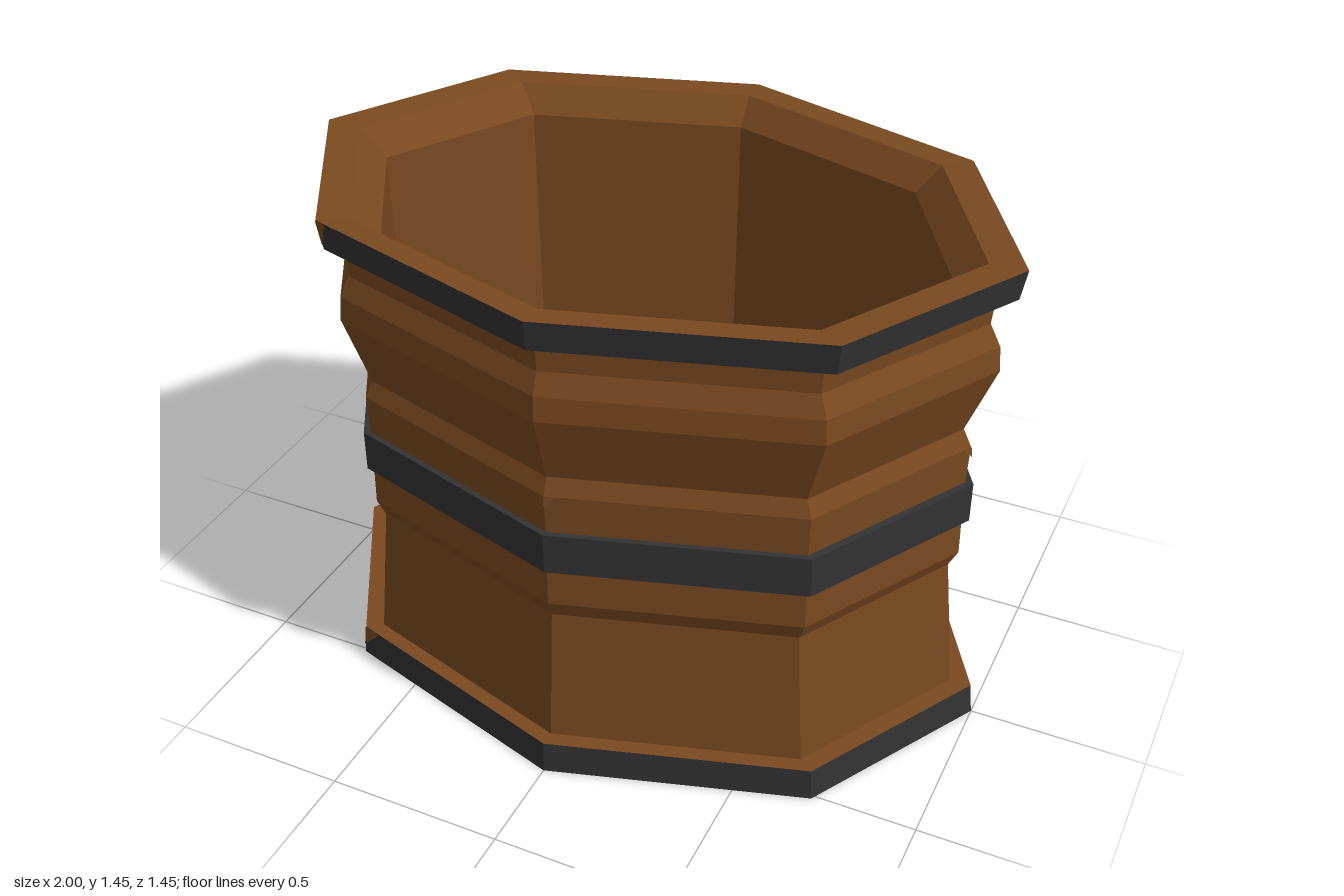
import * as THREE from 'three';

const DEPTH = 0.723; // the octagon is squashed front to back
const SIDES = 8;
const wood = new THREE.MeshStandardMaterial({ color: 0x7a4a20, flatShading: true });
const iron = new THREE.MeshStandardMaterial({ color: 0x333333, flatShading: true });

// Eight-sided ring from a profile of [radius, height]
function ring(name, material, profile) {
  const points = profile.map(([r, y]) => new THREE.Vector2(r, y));
  const geometry = new THREE.LatheGeometry(points, SIDES).scale(1, 1, DEPTH);
  const mesh = new THREE.Mesh(geometry, material);
  mesh.name = name;
  return mesh;
}

// Point on the octagon: k counts corners from the front towards +x
function onOctagon(k, r, y) {
  const corner = (i) => {
    const a = (i * Math.PI * 2) / SIDES;
    return new THREE.Vector3(Math.sin(a) * r, y, Math.cos(a) * r * DEPTH);
  };
  const i = Math.floor(k);
  return corner(i).lerp(corner(i + 1), k - i);
}

// Small triangular chip, folded around the outline
function chip(name, k, width, rTop, yTop, rTip, yTip) {
  const left = onOctagon(k - width, rTop, yTop);
  const middle = onOctagon(k, rTop, yTop);
  const right = onOctagon(k + width, rTop, yTop);
  const tip = onOctagon(k, rTip, yTip);
  const geometry = new THREE.BufferGeometry().setFromPoints([left, tip, middle, middle, tip, right]);
  geometry.computeVertexNormals();
  const mesh = new THREE.Mesh(geometry, wood);
  mesh.name = name;
  return mesh;
}

export function createModel() {
  const barrel = new THREE.Group();
  barrel.name = 'barrel';

  // Wooden body
  barrel.add(
    ring('underside', wood, [[0, 0], [1, 0]]),
    ring('staves', wood, [
      [0.99, 0.095], [0.93, 0.095], [0.885, 0.5], [0.91, 0.55], [0.905, 0.78],
      [0.91, 0.9], [0.885, 0.95], [0.96, 1.15], [0.953, 1.22], [0.922, 1.28],
      [0.93, 1.365], [0.985, 1.365],
    ]),
    ring('rim', wood, [[1, 1.45], [0.9, 1.445], [0.82, 1.37]]),
    ring('innerWall', wood, [[0.82, 1.37], [0.785, 0.1]]),
    ring('innerFloor', wood, [[0.785, 0.1], [0, 0.1]]),
  );

  // Iron hoops
  barrel.add(
    ring('bottomHoop', iron, [[1, 0], [0.99, 0.095]]),
    ring('middleHoop', iron, [[0.9, 0.665], [0.928, 0.665], [0.928, 0.785], [0.9, 0.785]]),
    ring('topHoop', iron, [[0.985, 1.365], [1, 1.45]]),
  );

  // Chips at the corners of the bottom hoop
  for (const k of [3, 5, 7]) barrel.add(chip('bottomChip', k, 0.08, 0.993, 0.095, 1.0, 0.03));

  // Chips in the top hoop
  barrel.add(
    chip('topChip', 7, 0.05, 1.002, 1.45, 0.989, 1.375),
    chip('topChip', 5.5, 0.09, 1.003, 1.45, 0.992, 1.395),
  );

  // Nicks in the staves
  for (const k of [0, 2]) barrel.add(chip('staveNick', k, 0.05, 0.912, 0.9, 0.915, 0.87));

  return barrel;
}
